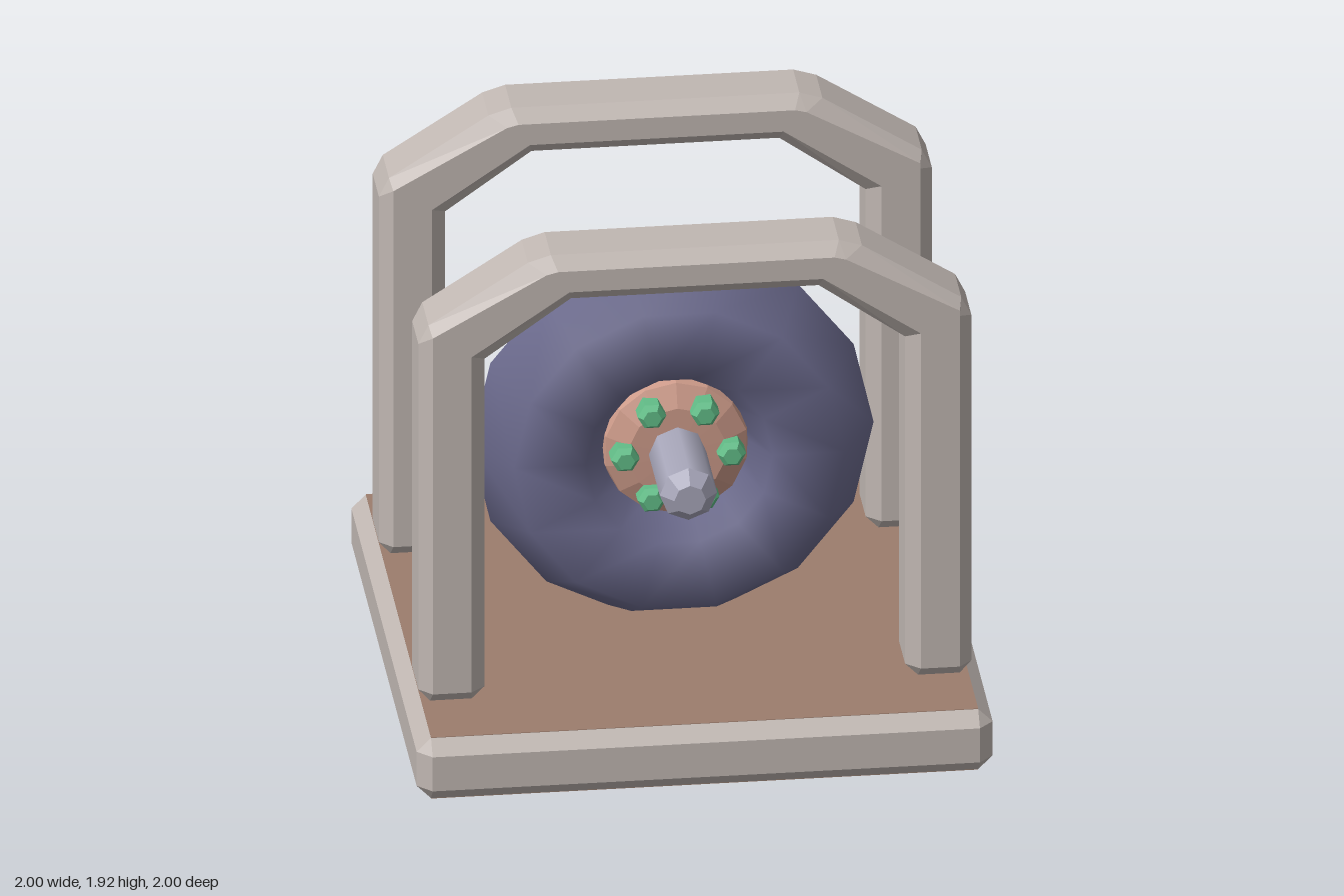
import * as THREE from 'three';
import { ConvexGeometry } from 'three/addons/geometries/ConvexGeometry.js';

const paint = (name, color, flatShading = true) => {
  const m = new THREE.MeshStandardMaterial({ color, flatShading });
  m.name = name;
  return m;
};

// Box with every edge chamfered, standing on y = 0
function chamferedBox(w, h, d, c) {
  const pts = [];
  for (const sx of [-1, 1]) for (const sy of [-1, 1]) for (const sz of [-1, 1]) {
    for (let full = 0; full < 3; full++) {
      const inset = [c, c, c];
      inset[full] = 0;
      pts.push(new THREE.Vector3(
        sx * (w / 2 - inset[0]), h / 2 + sy * (h / 2 - inset[1]), sz * (d / 2 - inset[2])));
    }
  }
  return new ConvexGeometry(pts);
}

// Arch lofted from stations: outer rim, outer face, inner face, inner rim points, half depths
function archGeometry() {
  const D = 0.135, R = 0.09;
  const half = [
    [[0.845, 0.235], [0.845, 0.235], [0.845, 0.235], [0.845, 0.235], 0, 0],
    [[0.92, 0.235], [0.92, 0.235], [0.775, 0.235], [0.775, 0.235], R, R],
    [[0.96, 0.28], [0.915, 0.28], [0.78, 0.28], [0.73, 0.28], D, R],
    [[0.96, 1.61], [0.915, 1.63], [0.78, 1.57], [0.73, 1.54], D, R],
    [[0.96, 1.68], [0.915, 1.65], [0.78, 1.57], [0.73, 1.54], D, R],
    [[0.58, 1.9], [0.52, 1.87], [0.44, 1.8], [0.43, 1.755], D, R],
    [[0.5, 1.925], [0.48, 1.88], [0.44, 1.8], [0.43, 1.755], D, R],
  ];
  half[4][0] = [0.925, 1.68];
  const flip = ([x, y]) => [-x, y];
  const mirrored = half.map((s) => [...s.slice(0, 4).map(flip), s[4], s[5]]).reverse();
  const stations = [...half, ...mirrored];
  const pos = [], index = [];
  for (const [om, of, inf, im, d, r] of stations) {
    const ring = [[om, r], [om, -r], [of, -d], [inf, -d], [im, -r], [im, r], [inf, d], [of, d]];
    for (const [[x, y], z] of ring) pos.push(x, y, z);
  }
  for (let i = 0; i < stations.length - 1; i++) for (let j = 0; j < 8; j++) {
    const a = i * 8 + j, b = i * 8 + (j + 1) % 8;
    index.push(a, b, b + 8, a, b + 8, a + 8);
  }
  const g = new THREE.BufferGeometry();
  g.setAttribute('position', new THREE.Float32BufferAttribute(pos, 3));
  g.setIndex(index);
  const flat = g.toNonIndexed();
  flat.computeVertexNormals();
  return flat;
}

export function createModel() {
  const model = new THREE.Group();
  const stone = paint('pale grey', 0xc0b7b2);
  const brown = paint('brown', 0x9c7d6d);
  const rubber = paint('slate blue', 0x6c6b8e, false);
  const copper = paint('salmon', 0xcc9a89);
  const green = paint('green', 0x62bd88);
  const steel = paint('steel', 0xa8a7ba, false);
  const steelFlat = paint('steel end', 0xa8a7ba);

  const add = (name, geometry, material, parent = model, x = 0, y = 0, z = 0) => {
    const mesh = new THREE.Mesh(geometry, material);
    mesh.name = name;
    mesh.position.set(x, y, z);
    parent.add(mesh);
    return mesh;
  };

  // Base slab with brown panels above and below
  add('baseRim', chamferedBox(2, 0.231, 2, 0.05), stone, model, 0, 0.002, 0);
  const panel = new THREE.BoxGeometry(1.9, 0.004, 1.9);
  add('baseTopPanel', panel, brown, model, 0, 0.233, 0);
  add('baseBottomPanel', panel, brown, model, 0, 0.002, 0);

  // Two arched frames
  const arch = archGeometry();
  add('frontArch', arch, stone, model, 0, 0, 0.575);
  add('backArch', arch, stone, model, 0, 0, -0.575);

  // Wheel, turning about z
  const wheel = new THREE.Group();
  wheel.name = 'wheel';
  wheel.position.y = 0.885;
  model.add(wheel);
  add('tyre', new THREE.TorusGeometry(0.45, 0.25, 6, 14), rubber, wheel);

  // Domed hub, closed on both faces
  const profile = [[0, -0.165], [0.17, -0.16], [0.25, -0.12], [0.28, 0],
    [0.25, 0.12], [0.17, 0.16], [0, 0.165]].map(([x, y]) => new THREE.Vector2(x, y));
  add('hub', new THREE.LatheGeometry(profile, 14).rotateX(Math.PI / 2), copper, wheel);

  // Axle with tapered ends
  add('axle', new THREE.CylinderGeometry(0.1, 0.1, 0.96, 8, 1, true).rotateX(Math.PI / 2), steel, wheel);
  const tip = new THREE.CylinderGeometry(0.055, 0.1, 0.05, 8).rotateX(Math.PI / 2);
  const bolt = new THREE.CylinderGeometry(0.05, 0.05, 0.09, 6).rotateX(Math.PI / 2).rotateZ(Math.PI / 6);
  const cap = new THREE.CylinderGeometry(0.032, 0.05, 0.022, 6).rotateX(Math.PI / 2).rotateZ(Math.PI / 6);
  for (const side of ['front', 'back']) {
    const face = new THREE.Group();
    face.name = side + 'Fittings';
    if (side === 'back') face.rotation.y = Math.PI;
    wheel.add(face);
    add('axleTip', tip, steelFlat, face, 0, 0, 0.505);
    // Ring of six hexagonal bolts
    for (let i = 0; i < 6; i++) {
      const a = (i * Math.PI) / 3, x = 0.185 * Math.cos(a), y = 0.185 * Math.sin(a);
      add('bolt', bolt, green, face, x, y, 0.145);
      add('boltCap', cap, green, face, x, y, 0.201);
    }
  }
  return model;
}
